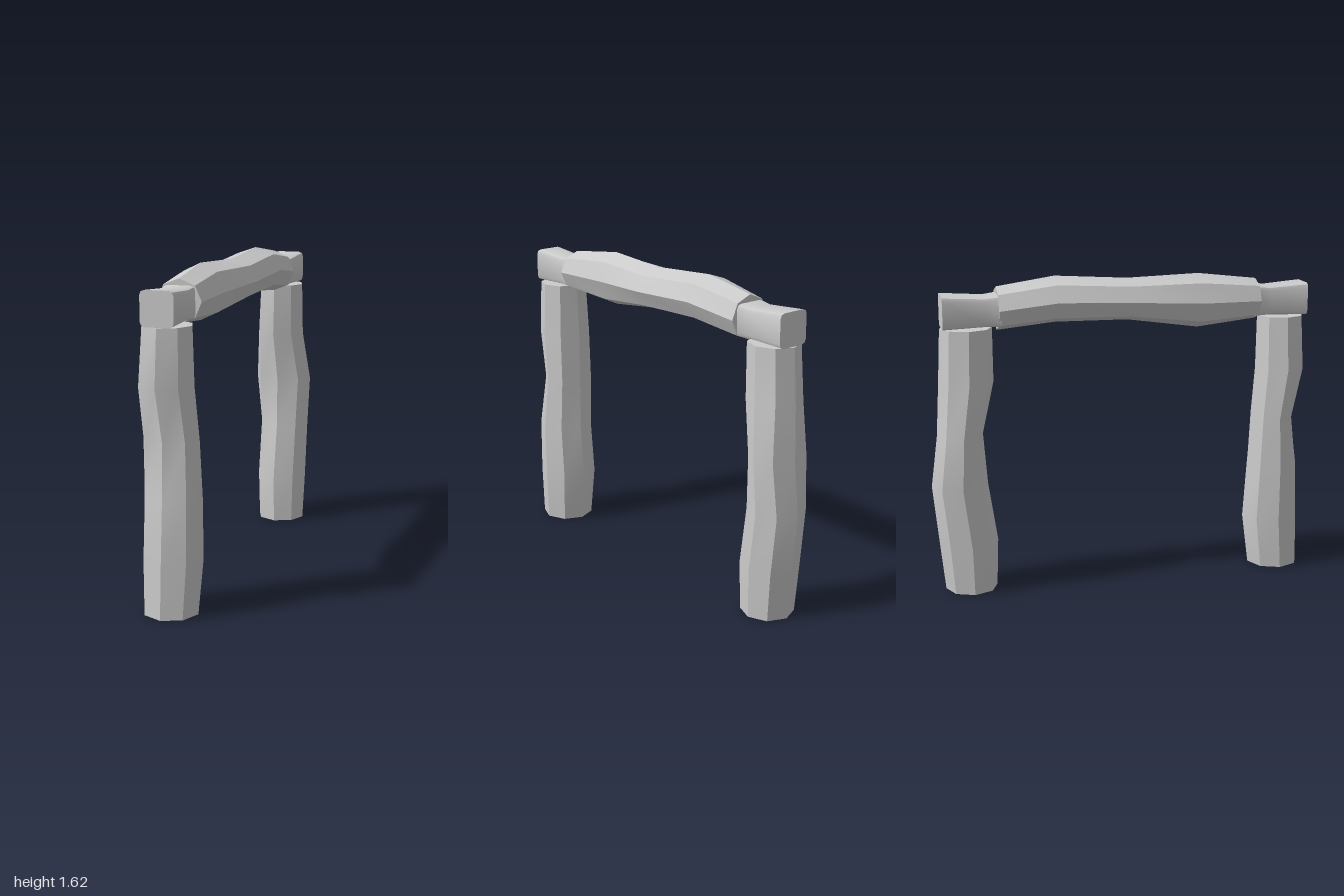
import * as THREE from 'three';
import { toCreasedNormals } from 'three/addons/utils/BufferGeometryUtils.js';

const material = new THREE.MeshStandardMaterial({ color: 0xcccccc });

// Unit cross-sections, counter-clockwise, spanning -1..1
const octagon = Array.from({ length: 8 }, (_, i) => {
  const a = i * Math.PI / 4;
  return [Math.cos(a), Math.sin(a)];
});
const roundedSquare = [];
for (let q = 0; q < 4; q++) {
  const c = Math.round(Math.cos(q * Math.PI / 2)), s = Math.round(Math.sin(q * Math.PI / 2));
  for (const [x, y] of [[1, 0.72], [0.92, 0.92], [0.72, 1]]) {
    roundedSquare.push([c * x - s * y, s * x + c * y]);
  }
}

// Skin a profile through sections [t, uMin, uMax, vMin, vMax]; place(u, v, t) gives x, y, z
function loft(name, profile, sections, place) {
  const n = profile.length, pos = [], index = [];
  for (const [t, u0, u1, v0, v1] of sections) {
    for (const [u, v] of profile) {
      pos.push(...place((u0 + u1) / 2 + u * (u1 - u0) / 2, (v0 + v1) / 2 + v * (v1 - v0) / 2, t));
    }
  }
  const last = (sections.length - 1) * n;
  for (let r = 0; r < last; r += n) {
    for (let i = 0; i < n; i++) {
      const j = (i + 1) % n;
      index.push(r + i, r + j, r + n + j, r + i, r + n + j, r + n + i);
    }
  }
  // End caps
  for (let i = 1; i < n - 1; i++) {
    index.push(0, i + 1, i, last, last + i, last + i + 1);
  }
  const geo = new THREE.BufferGeometry();
  geo.setAttribute('position', new THREE.Float32BufferAttribute(pos, 3));
  geo.setIndex(index);
  const mesh = new THREE.Mesh(toCreasedNormals(geo, 0.5), material);
  mesh.name = name;
  return mesh;
}

const upright = (z, x, y) => [x, y, z];
const lengthwise = (x, y, z) => [x, y, z];

export function createModel() {
  const group = new THREE.Group();
  group.name = 'logGate';

  // Upright logs: [y, zMin, zMax, xMin, xMax]
  group.add(loft('frontPost', octagon, [
    [0, 0.72, 1.0, -0.135, 0.14],
    [0.27, 0.685, 0.995, -0.145, 0.16],
    [0.56, 0.705, 0.985, -0.135, 0.16],
    [0.84, 0.72, 0.94, -0.145, 0.14],
    [1.1, 0.73, 1.0, -0.15, 0.13],
    [1.38, 0.735, 0.985, -0.13, 0.12],
  ], upright));
  group.add(loft('backPost', octagon, [
    [0, -0.945, -0.675, -0.13, 0.135],
    [0.25, -0.97, -0.665, -0.14, 0.145],
    [0.56, -1.0, -0.71, -0.135, 0.145],
    [0.83, -0.965, -0.73, -0.16, 0.16],
    [1.1, -0.95, -0.67, -0.14, 0.125],
    [1.38, -0.935, -0.67, -0.125, 0.12],
  ], upright));

  // Horizontal log: [z, xMin, xMax, yMin, yMax]
  group.add(loft('crossbeam', octagon, [
    [-0.645, -0.105, 0.12, 1.36, 1.58],
    [-0.35, -0.145, 0.14, 1.39, 1.625],
    [0.03, -0.14, 0.145, 1.385, 1.6],
    [0.4, -0.145, 0.1, 1.335, 1.615],
    [0.72, -0.115, 0.11, 1.365, 1.575],
  ], lengthwise));

  // Squared beam ends resting on the posts, slightly waisted
  group.add(loft('frontTenon', roundedSquare, [
    [0.7, -0.085, 0.08, 1.385, 1.545],
    [0.78, -0.075, 0.07, 1.388, 1.535],
    [0.985, -0.085, 0.08, 1.382, 1.55],
  ], lengthwise));
  group.add(loft('backTenon', roundedSquare, [
    [-0.925, -0.085, 0.085, 1.382, 1.55],
    [-0.71, -0.075, 0.085, 1.388, 1.535],
    [-0.63, -0.085, 0.09, 1.385, 1.545],
  ], lengthwise));

  return group;
}
